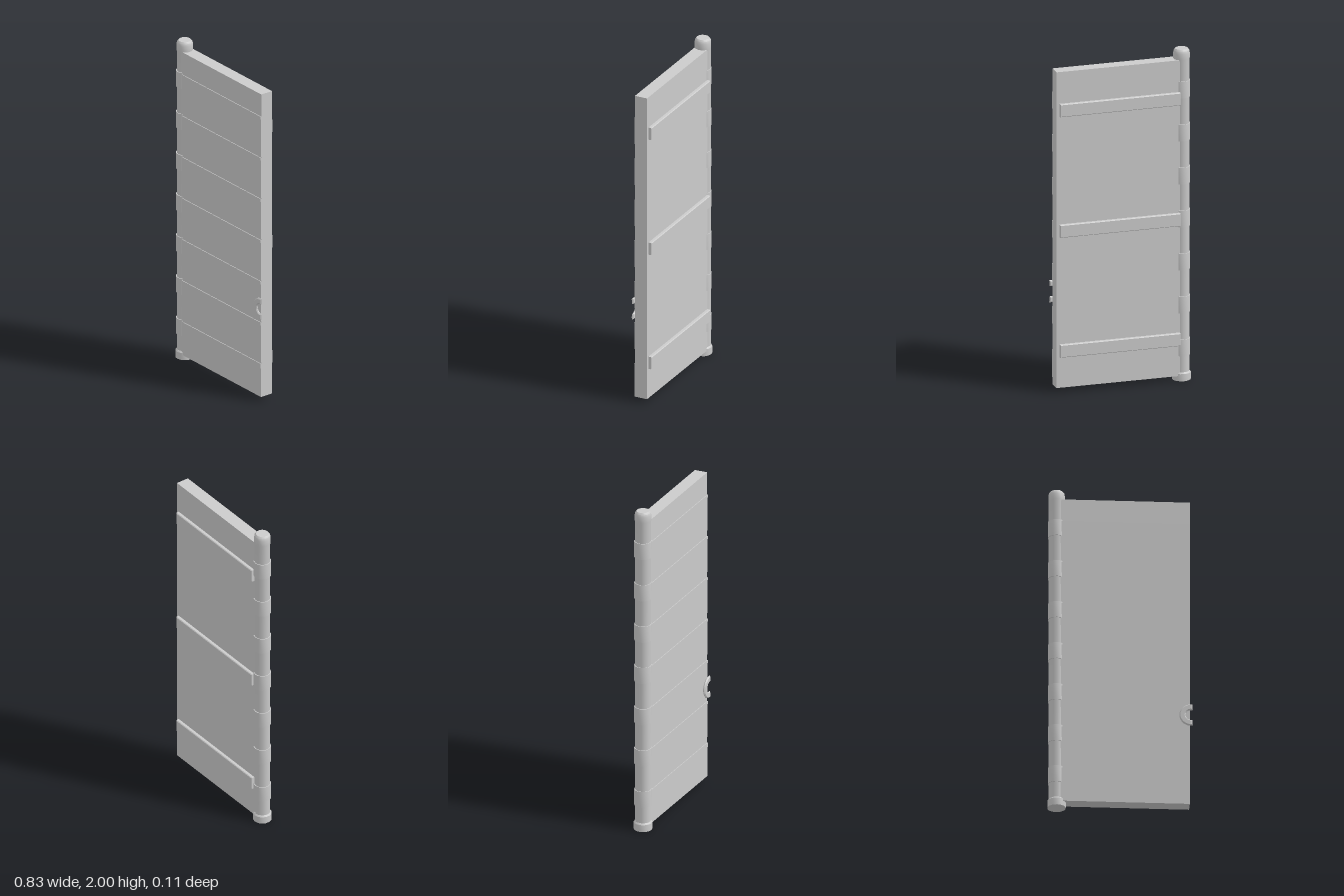
import * as THREE from 'three';
import { toCreasedNormals } from 'three/addons/utils/BufferGeometryUtils.js';

const material = new THREE.MeshStandardMaterial({ color: 0xcccccc });
const POST_X = -0.363;

function part(name, geometry, x = 0, y = 0, z = 0) {
  const mesh = new THREE.Mesh(geometry, material);
  mesh.name = name;
  mesh.position.set(x, y, z);
  return mesh;
}

function lathe(points) {
  const profile = points.map(([r, y]) => new THREE.Vector2(r, y));
  return toCreasedNormals(new THREE.LatheGeometry(profile, 14), 0.6);
}

// Box with chamfered outer face, growing towards +z
function chamferedBar(w, h, d, bevel) {
  const a = w / 2 - bevel, b = h / 2 - bevel;
  const shape = new THREE.Shape([[-a, -b], [a, -b], [a, b], [-a, b]].map(p => new THREE.Vector2(...p)));
  return new THREE.ExtrudeGeometry(shape, {
    depth: d - bevel, bevelEnabled: true, bevelThickness: bevel, bevelSize: bevel, bevelSegments: 1,
  });
}

// Door leaf: side profile with shallow lapped boards on the front, extruded across x
function leafGeometry() {
  const shape = new THREE.Shape();
  shape.moveTo(0.04, 0.03);
  shape.lineTo(-0.04, 0.03);
  shape.lineTo(-0.04, 1.94);
  shape.lineTo(0.038, 1.94);
  for (let i = 0; i < 7; i++) {
    const y = 1.80 - i * 0.26;
    shape.lineTo(0.038, y);
    shape.lineTo(0.042, y);
  }
  const width = 0.755;
  const g = new THREE.ExtrudeGeometry(shape, { depth: width, bevelEnabled: false });
  // Profile x becomes z, extrusion runs from right edge to the post
  g.rotateY(-Math.PI / 2);
  g.translate(0.402, 0, 0);
  return g;
}

// Crescent pull with a bevelled rim, open towards the door edge
function handleGeometry() {
  const shape = new THREE.Shape();
  const start = Math.PI * 0.48, end = Math.PI * 1.52;
  shape.absarc(0, 0, 0.061, start, end, false);
  shape.absarc(0, 0, 0.037, end, start, true);
  shape.closePath();
  const g = new THREE.ExtrudeGeometry(shape, {
    depth: 0.003, bevelEnabled: true, bevelThickness: 0.006, bevelSize: 0.006,
    bevelSegments: 1, curveSegments: 10,
  });
  return toCreasedNormals(g, 0.5);
}

export function createModel() {
  const door = new THREE.Group();
  door.name = 'door';

  door.add(part('doorLeaf', leafGeometry()));

  // Hinge post with rounded cap
  door.add(part('hingePost', lathe([
    [0, 0.02], [0.046, 0.02], [0.046, 1.93], [0.048, 1.94], [0.048, 1.975],
    [0.045, 1.99], [0.037, 2.0], [0, 2.0],
  ]), POST_X));

  // Foot collar
  door.add(part('postFoot', lathe([
    [0, 0], [0.054, 0], [0.054, 0.043], [0.047, 0.052], [0, 0.052],
  ]), POST_X));

  // Hinge bands
  for (let i = 0; i < 7; i++) {
    const y = 1.71 - i * 0.26;
    door.add(part('hingeBand', lathe([
      [0.044, y], [0.0505, y], [0.0505, y + 0.10], [0.044, y + 0.10],
    ]), POST_X));
  }

  // Battens across the back
  for (const y of [1.71, 0.98, 0.255]) {
    const batten = part('backBatten', chamferedBar(0.725, 0.077, 0.022, 0.004), 0.022, y, -0.038);
    batten.rotation.y = Math.PI;
    door.add(batten);
  }

  door.add(part('handle', handleGeometry(), 0.408, 0.59, 0.045));

  return door;
}
